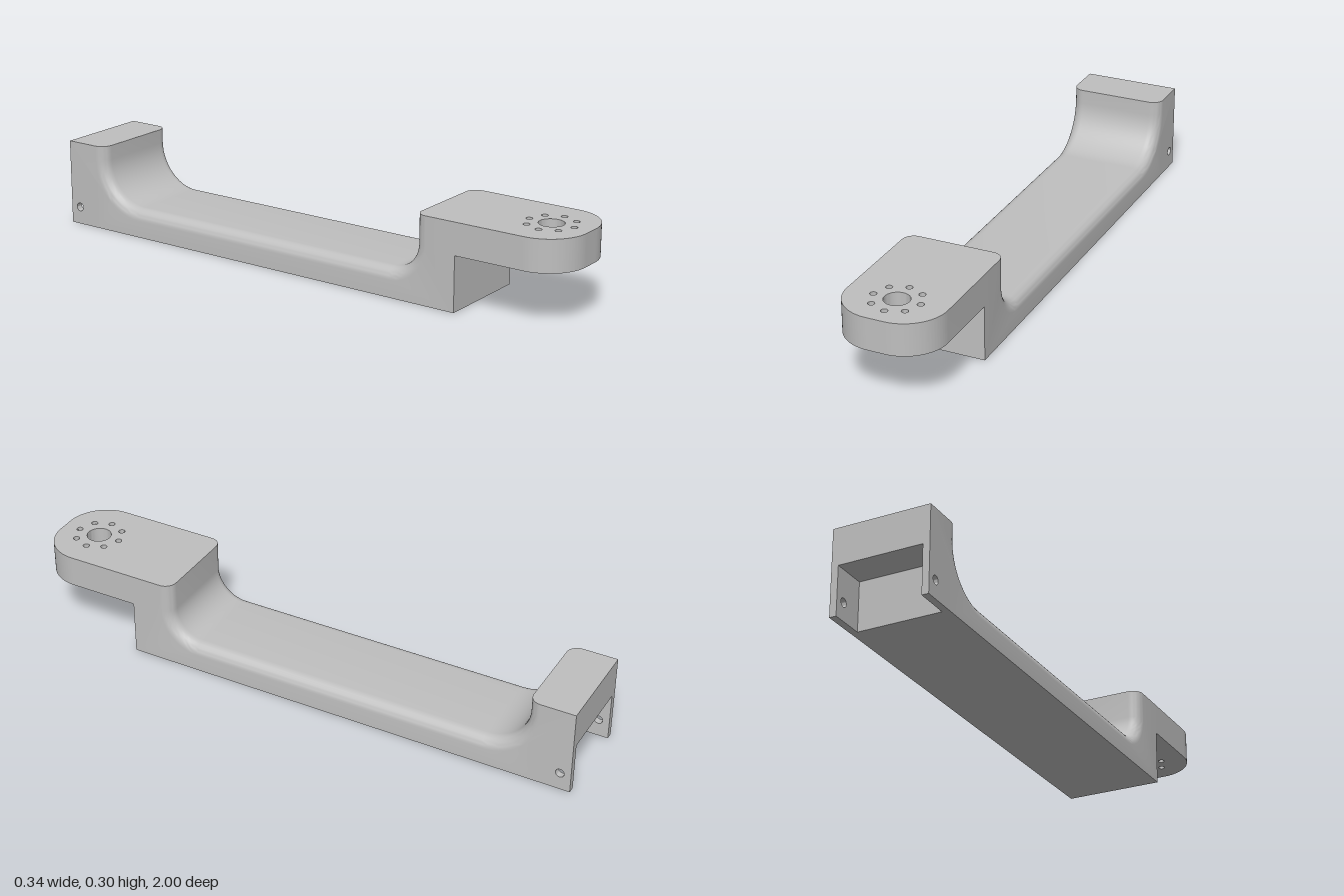
import * as THREE from 'three';
import { toCreasedNormals } from 'three/addons/utils/BufferGeometryUtils.js';

const HALF = 0.17;    // half width
const ROUND = 0.04;   // rounding along the edges of the scooped surface
const TOP = 0.3;

const circle = (x, y, r) => new THREE.Path().absarc(x, y, r, 0, Math.PI * 2, true);

// Side outline as [z, y]; d pushes the scooped surface into the material
function outline(d) {
  const pts = [[-0.88, 0], [0.615, 0], [0.615, TOP], [0.465 + d, TOP]];
  const arc = (z, y, r, from) => {
    for (let i = 0; i <= 14; i++) {
      const a = from - (i / 14) * Math.PI / 2;
      pts.push([z + r * Math.cos(a), y + r * Math.sin(a)]);
    }
  };
  arc(0.365, 0.2, 0.1 + d, 0);
  arc(-0.69, 0.25, 0.15 + d, -Math.PI / 2);
  pts.push([-0.84 - d, TOP], [-1, TOP], [-1, 0.17], [-0.88, 0.17]);
  return pts;
}

// Loft of the side outline across the width
function bodyGeometry() {
  const rows = [];
  const steps = 9;
  for (let i = 0; i <= steps; i++) {
    const a = (1 - i / steps) * Math.PI / 2;
    rows.push([-HALF + ROUND - ROUND * Math.sin(a), ROUND * (1 - Math.cos(a))]);
  }
  for (let i = steps; i >= 0; i--) rows.push([-rows[i][0], rows[i][1]]);

  const rings = rows.map(([x, d]) => outline(d).map(([z, y]) => [x, y, z]));
  const pos = [];
  const tri = (a, b, c) => pos.push(...a, ...b, ...c);
  const n = rings[0].length;
  for (let i = 0; i < rings.length - 1; i++) {
    for (let j = 0; j < n; j++) {
      const k = (j + 1) % n;
      const a = rings[i][j], b = rings[i][k], c = rings[i + 1][k], e = rings[i + 1][j];
      tri(a, c, b);
      tri(a, e, c);
    }
  }
  // flat side faces
  const contour = outline(ROUND).map(([z, y]) => new THREE.Vector2(z, y));
  const first = rings[0], last = rings[rings.length - 1];
  for (const [a, b, c] of THREE.ShapeUtils.triangulateShape(contour, [])) {
    tri(first[a], first[b], first[c]);
    tri(last[a], last[c], last[b]);
  }
  const geo = new THREE.BufferGeometry();
  geo.setAttribute('position', new THREE.Float32BufferAttribute(pos, 3));
  return toCreasedNormals(geo, 0.5);
}

// Rounded plate with a centre bore and a ring of small holes
function headGeometry() {
  const r = 0.14;
  const s = new THREE.Shape();
  s.moveTo(-HALF, 0.615);
  s.lineTo(HALF, 0.615);
  s.lineTo(HALF, 1 - r);
  s.absarc(HALF - r, 1 - r, r, 0, Math.PI / 2, false);
  s.absarc(-HALF + r, 1 - r, r, Math.PI / 2, Math.PI, false);
  s.closePath();
  s.holes.push(circle(0, 0.86, 0.042));
  for (let i = 0; i < 8; i++) {
    const a = i * Math.PI / 4;
    s.holes.push(circle(0.08 * Math.cos(a), 0.86 + 0.08 * Math.sin(a), 0.011));
  }
  const geo = new THREE.ExtrudeGeometry(s, { depth: 0.11, bevelEnabled: false, curveSegments: 20 });
  geo.rotateX(Math.PI / 2).translate(0, TOP, 0);
  return toCreasedNormals(geo, 0.5);
}

// Thin wall beside the rear pocket, with a pin hole
function wallGeometry() {
  const s = new THREE.Shape();
  s.moveTo(0.88, 0);
  s.lineTo(1, 0);
  s.lineTo(1, 0.17);
  s.lineTo(0.88, 0.17);
  s.closePath();
  s.holes.push(circle(0.962, 0.062, 0.015));
  const geo = new THREE.ExtrudeGeometry(s, { depth: 0.024, bevelEnabled: false, curveSegments: 20 });
  geo.rotateY(Math.PI / 2).translate(-0.012, 0, 0);
  return toCreasedNormals(geo, 0.5);
}

export function createModel() {
  const grey = new THREE.MeshStandardMaterial({ name: 'grey', color: 0xbfbfbf });
  const group = new THREE.Group();
  group.name = 'armLink';
  const add = (name, geo, x = 0) => {
    const mesh = new THREE.Mesh(geo, grey);
    mesh.name = name;
    mesh.position.x = x;
    group.add(mesh);
  };
  add('body', bodyGeometry());
  add('mountingHead', headGeometry());
  const wall = wallGeometry();
  add('leftPocketWall', wall, HALF - 0.012);
  add('rightPocketWall', wall, -HALF + 0.012);
  return group;
}
